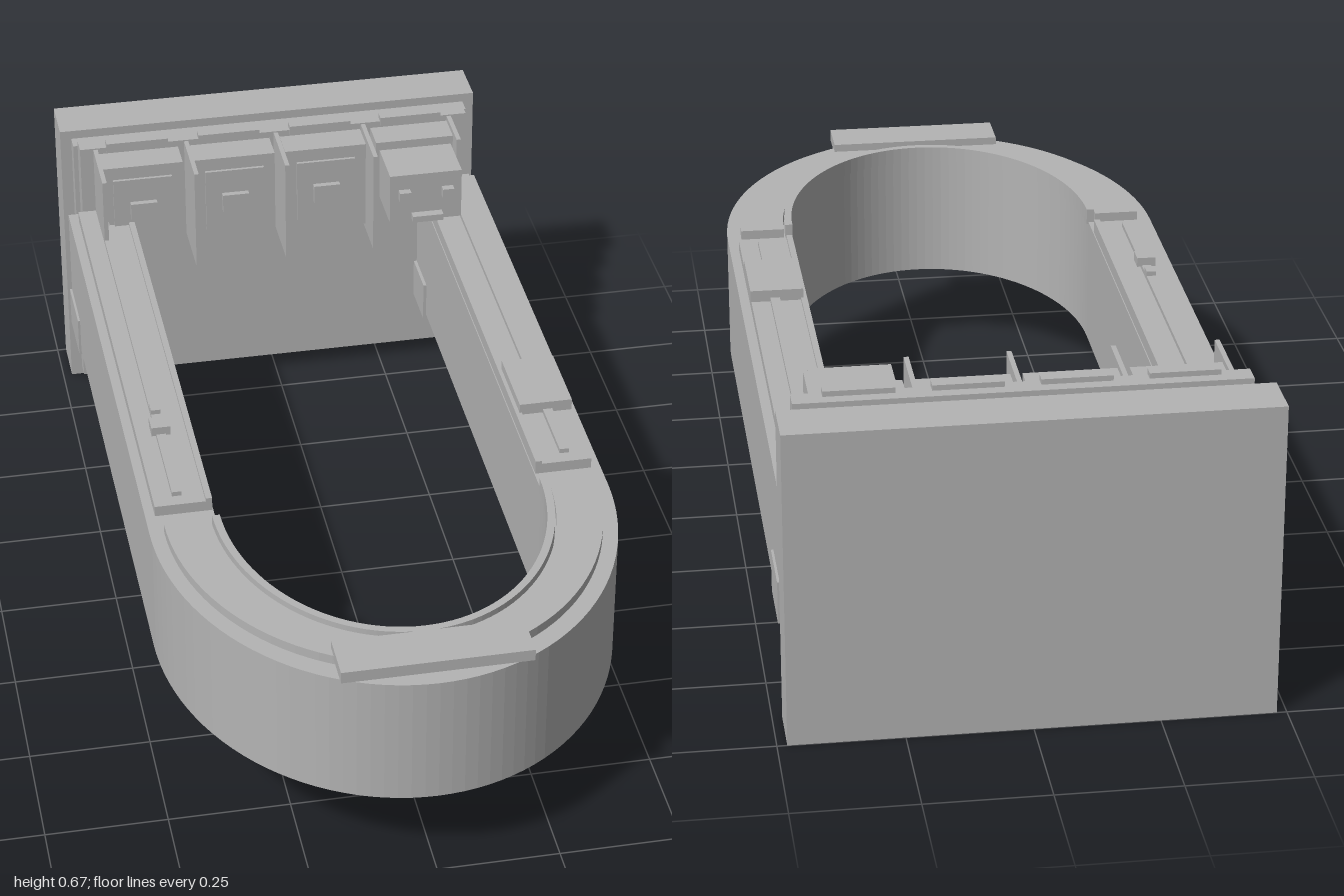
import * as THREE from 'three';

export function createModel() {
  const model = new THREE.Group();
  const grey = new THREE.MeshStandardMaterial({ color: 0xb4b4b4 });
  grey.name = 'plain grey';

  function add(name, geometry) {
    const mesh = new THREE.Mesh(geometry, grey);
    mesh.name = name;
    model.add(mesh);
    return mesh;
  }

  // Box given by its limits on each axis
  function box(name, x0, x1, y0, y1, z0, z1) {
    const mesh = add(name, new THREE.BoxGeometry(x1 - x0, y1 - y0, z1 - z0));
    mesh.position.set((x0 + x1) / 2, (y0 + y1) / 2, (z0 + z1) / 2);
    return mesh;
  }

  // Horseshoe band: straight arms from zBack, then a half-ellipse at the front
  const bendZ = 0.42;
  function horseshoe(name, outer, inner, y0, y1, zBack) {
    const s = new THREE.Shape();
    s.moveTo(-outer[0], zBack);
    if (zBack < bendZ) s.lineTo(-outer[0], bendZ);
    s.absellipse(0, bendZ, outer[0], outer[1], Math.PI, 0, true);
    if (zBack < bendZ) s.lineTo(outer[0], zBack);
    s.lineTo(inner[0], zBack);
    if (zBack < bendZ) s.lineTo(inner[0], bendZ);
    s.absellipse(0, bendZ, inner[0], inner[1], 0, Math.PI, false);
    if (zBack < bendZ) s.lineTo(-inner[0], zBack);
    const g = new THREE.ExtrudeGeometry(s, { depth: y1 - y0, bevelEnabled: false, curveSegments: 28 });
    g.rotateX(Math.PI / 2);
    g.translate(0, y1, 0);
    add(name, g);
  }

  // Main body and curved trims
  horseshoe('counterBody', [0.475, 0.58], [0.335, 0.44], 0.19, 0.47, -0.84);
  horseshoe('curvedTopTrim', [0.445, 0.535], [0.35, 0.455], 0.47, 0.49, bendZ);
  horseshoe('innerLip', [0.347, 0.452], [0.331, 0.436], 0.465, 0.5, bendZ);
  box('frontPlaque', -0.19, 0.19, 0.482, 0.507, 0.88, 0.98);

  // Stepped back wall
  box('backWall', -0.48, 0.48, 0, 0.66, -1, -0.89);
  box('middleWall', -0.455, 0.455, 0.02, 0.64, -0.89, -0.855);
  box('frontWall', -0.445, 0.445, 0.07, 0.655, -0.855, -0.81);

  // Parts repeated on both arms
  for (const side of [-1, 1]) {
    const armBox = (name, a, b, y0, y1, z0, z1) =>
      box(name, Math.min(side * a, side * b), Math.max(side * a, side * b), y0, y1, z0, z1);
    armBox('armTopTrim', 0.35, 0.455, 0.47, 0.493, -0.81, 0.36);
    armBox('innerEdgeStrip', 0.337, 0.35, 0.47, 0.5, -0.81, 0.36);
    armBox('railStrip', 0.395, 0.415, 0.493, 0.503, -0.81, 0.33);
    armBox('armBracket', 0.328, 0.48, 0.18, 0.27, -0.84, -0.7);
    armBox('underPlate', 0.37, 0.44, 0.17, 0.19, -0.75, -0.6);
    for (const z of [-0.28, -0.4, -0.52])
      armBox('underBar', 0.37, 0.445, 0.172, 0.19, z - 0.006, z + 0.006);
  }

  // Fittings on top of the arms
  box('armBlock', 0.345, 0.457, 0.495, 0.52, 0.01, 0.18);
  box('armKnob', -0.425, -0.385, 0.5, 0.52, 0.08, 0.12);
  box('smallArmKnob', -0.415, -0.395, 0.5, 0.513, 0.02, 0.045);

  // Bays on the back wall, separated by thin dividers
  for (let i = 0; i < 4; i++) {
    const x = -0.315 + i * 0.21;
    box('bayPanel', x - 0.093, x + 0.093, 0.43, 0.64, -0.81, -0.74);
    box('bayCap', x - 0.07, x + 0.07, 0.645, 0.666, -0.83, -0.805);
    if (i < 3) {
      box('bayScreen', x - 0.067, x + 0.067, 0.46, 0.61, -0.74, -0.733);
      box('bayButton', x - 0.03, x + 0.03, 0.51, 0.553, -0.733, -0.72);
    }
  }
  for (const x of [-0.41, -0.203, 0.003, 0.205])
    box('bayDivider', x - 0.005, x + 0.005, 0.41, 0.652, -0.81, -0.66);
  box('endDivider', 0.4, 0.41, 0.41, 0.652, -0.81, -0.7);

  // Machine in the last bay
  box('machineBody', 0.23, 0.395, 0.5, 0.62, -0.75, -0.62);
  for (const x of [0.263, 0.362])
    box('machineKnob', x - 0.013, x + 0.013, 0.56, 0.583, -0.62, -0.603);
  box('machineLedge', 0.28, 0.35, 0.506, 0.521, -0.62, -0.6);

  return model;
}
